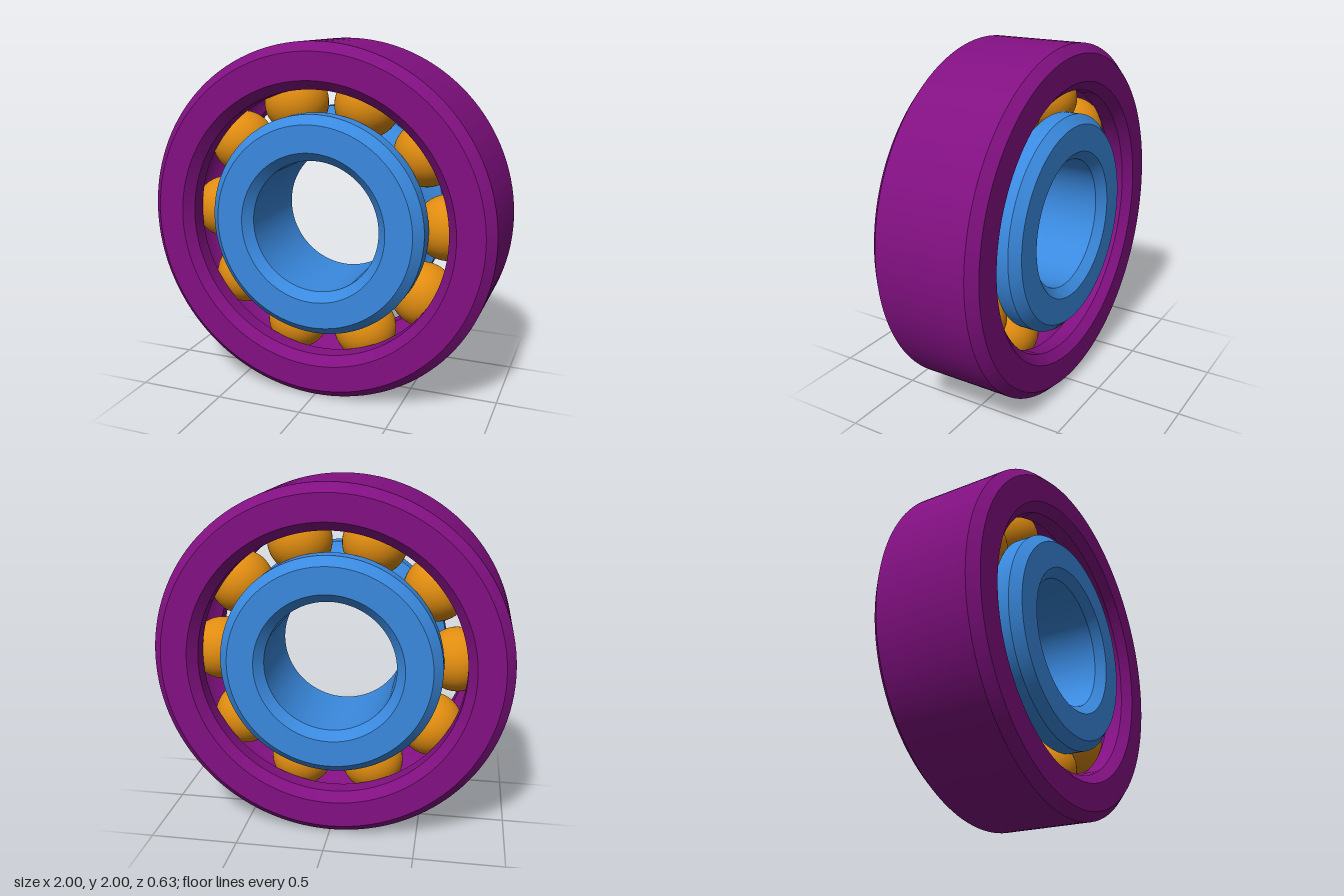
import * as THREE from 'three';
import { toCreasedNormals } from 'three/addons/utils/BufferGeometryUtils.js';

const HALF = 0.315;    // half width of both rings
const CHAMFER = 0.05;
const PITCH = 0.685;   // radius of the circle of ball centres
const GROOVE = 0.185;  // radius of the raceway cross-section
const BALL = 0.183;
const BALLS = 10;

// Raceway arc meeting a land of the given radius, side +1 outer, -1 inner
function raceway(land, side) {
  const limit = Math.acos(Math.abs(land - PITCH) / GROOVE);
  return Array.from({ length: 19 }, (_, i) => {
    const a = side * limit * (1 - i / 9);
    return [PITCH + side * GROOVE * Math.cos(a), GROOVE * Math.sin(a)];
  });
}

// Chamfered ring turned about z, with a raceway on one of its two walls
function ring(name, inner, outer, side, material) {
  const c = CHAMFER, h = HALF, e = HALF - CHAMFER;
  const profile = [
    [outer, -e], ...(side < 0 ? raceway(outer, -1) : []), [outer, e],
    [outer - c, h], [inner + c, h],
    [inner, e], ...(side > 0 ? raceway(inner, 1) : []), [inner, -e],
    [inner + c, -h], [outer - c, -h], [outer, -e],
  ].map(([r, z]) => new THREE.Vector2(r, z));
  const geometry = new THREE.LatheGeometry(profile, 128).rotateX(Math.PI / 2);
  const mesh = new THREE.Mesh(toCreasedNormals(geometry, 0.4), material);
  mesh.name = name;
  return mesh;
}

export function createModel() {
  const purple = new THREE.MeshStandardMaterial({ color: 0x821082 });
  const blue = new THREE.MeshStandardMaterial({ color: 0x3a8ae0 });
  const orange = new THREE.MeshStandardMaterial({ color: 0xe08c10 });
  purple.name = 'purple';
  blue.name = 'blue';
  orange.name = 'orange';

  const model = new THREE.Group();
  model.name = 'ballBearing';
  model.add(ring('outerRing', 0.75, 1, 1, purple));
  model.add(ring('innerRing', 0.37, 0.62, -1, blue));

  // Balls evenly spaced between the rings
  const balls = new THREE.Group();
  balls.name = 'balls';
  const sphere = new THREE.SphereGeometry(BALL, 40, 28);
  for (let i = 0; i < BALLS; i++) {
    const a = (i / BALLS) * Math.PI * 2;
    const ball = new THREE.Mesh(sphere, orange);
    ball.name = `ball${i + 1}`;
    ball.position.set(PITCH * Math.cos(a), PITCH * Math.sin(a), 0);
    balls.add(ball);
  }
  model.add(balls);

  // Stand the bearing on the ground
  model.children.forEach((part) => { part.position.y = 1; });
  return model;
}
